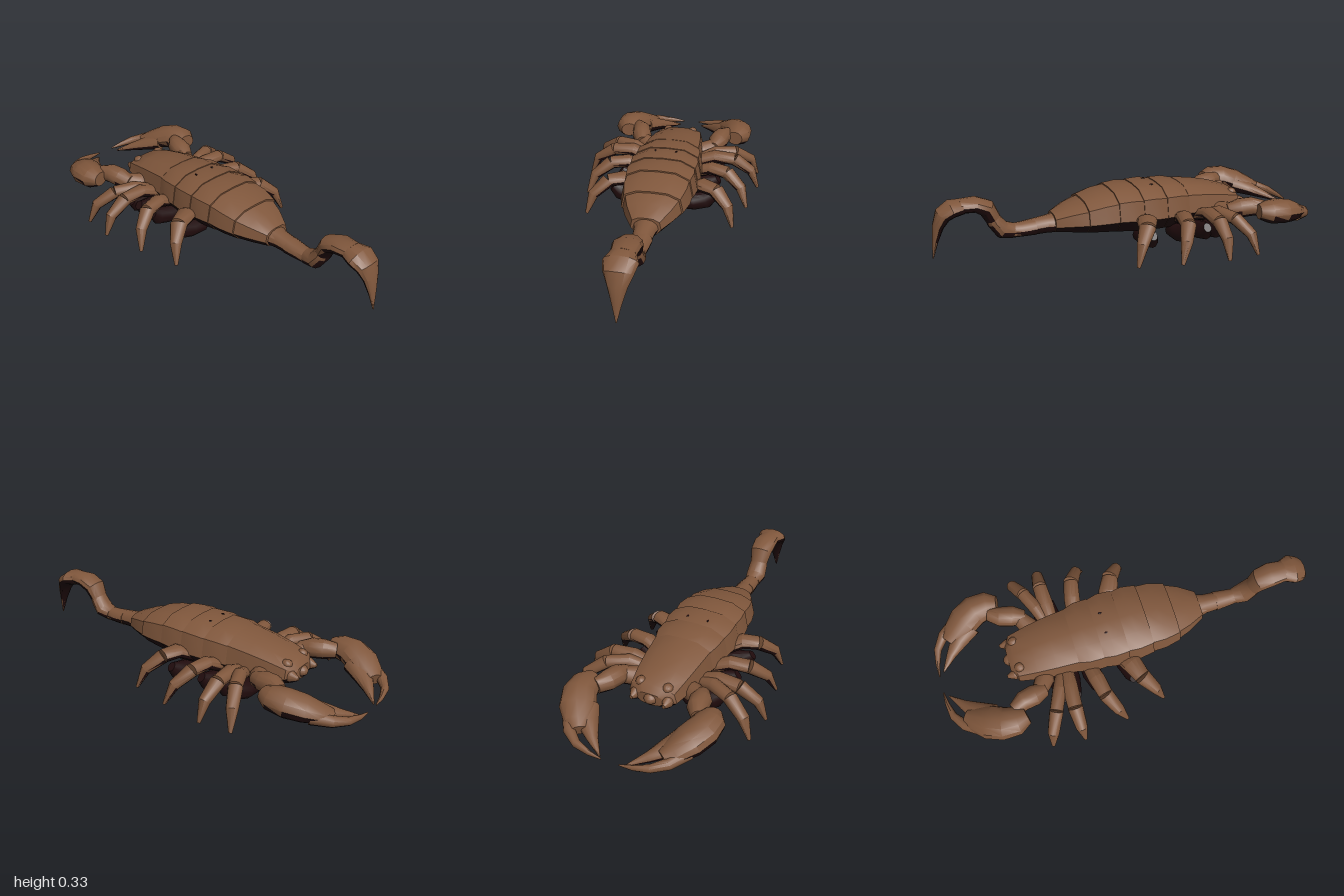
import * as THREE from 'three';
import { toCreasedNormals } from 'three/addons/utils/BufferGeometryUtils.js';

const shell = new THREE.MeshStandardMaterial({ color: 0x80573c });
shell.name = 'brown shell';
const under = new THREE.MeshStandardMaterial({ color: 0x200b0c });
under.name = 'dark underside';

// Half outlines from top to bottom, in units of half width and half height
const PLATE = [[0, 1], [0.5, 0.96], [0.9, 0.66], [1, -0.15], [0.7, -0.72], [0, -1]];
const ROUND = [[0, 1], [0.5, 0.87], [0.87, 0.5], [1, 0], [0.87, -0.5], [0.5, -0.87], [0, -1]];

// Groups the faces so that those pointing down take the dark colour
function paint(geometry) {
  const g = toCreasedNormals(geometry, 0.6);
  const p = g.attributes.position, n = g.attributes.normal;
  const sets = [[], []];
  const t = new THREE.Triangle(), nor = new THREE.Vector3();
  for (let i = 0; i < p.count; i += 3) {
    t.setFromAttributeAndIndices(p, i, i + 1, i + 2);
    t.getNormal(nor);
    sets[nor.y < -0.3 ? 1 : 0].push(i, i + 1, i + 2);
  }
  const out = new THREE.BufferGeometry();
  const order = [...sets[0], ...sets[1]];
  for (const [key, a] of [['position', p], ['normal', n]]) {
    out.setAttribute(key, new THREE.Float32BufferAttribute(
      order.flatMap(i => [a.getX(i), a.getY(i), a.getZ(i)]), 3));
  }
  out.addGroup(0, sets[0].length, 0);
  out.addGroup(sets[0].length, sets[1].length, 1);
  return out;
}

function add(group, name, geometry) {
  const mesh = new THREE.Mesh(paint(geometry), [shell, under]);
  mesh.name = name;
  group.add(mesh);
}

// Parts that are dark all round
function addDark(group, name, geometry) {
  const mesh = new THREE.Mesh(toCreasedNormals(geometry, 0.6), under);
  mesh.name = name;
  group.add(mesh);
}

// Closed skin through stations [x, y, z, halfWidth, halfHeight]
function loft(stations, half = ROUND, fixedDir = null) {
  const ring = [...half, ...half.slice(1, -1).reverse().map(([x, y]) => [-x, y])].reverse();
  const m = ring.length, pos = [], idx = [];
  const pts = stations.map(s => new THREE.Vector3(s[0], s[1], s[2]));
  const up = new THREE.Vector3(0, 1, 0);
  stations.forEach((s, i) => {
    const dir = fixedDir ?? pts[Math.min(i + 1, pts.length - 1)].clone()
      .sub(pts[Math.max(i - 1, 0)]).normalize();
    const side = up.clone().cross(dir).normalize();
    const rise = dir.clone().cross(side);
    for (const [u, v] of ring) {
      const q = pts[i].clone().addScaledVector(side, u * s[3]).addScaledVector(rise, v * s[4]);
      pos.push(q.x, q.y, q.z);
    }
  });
  const last = (pts.length - 1) * m, c0 = pts.length * m;
  for (const e of [pts[0], pts[pts.length - 1]]) pos.push(e.x, e.y, e.z);
  for (let j = 0; j < m; j++) {
    const k = (j + 1) % m;
    for (let o = 0; o < last; o += m) {
      idx.push(o + j, o + k, o + m + k, o + j, o + m + k, o + m + j);
    }
    idx.push(c0, k, j, c0 + 1, last + j, last + k);
  }
  const g = new THREE.BufferGeometry();
  g.setAttribute('position', new THREE.Float32BufferAttribute(pos, 3));
  g.setIndex(idx);
  return g;
}

function blob(x, y, z, rx, ry, rz) {
  return new THREE.SphereGeometry(1, 12, 8).scale(rx, ry, rz).translate(x, y, z);
}

export function createModel() {
  const model = new THREE.Group();
  model.name = 'scorpion';
  const forward = new THREE.Vector3(0, 0, 1);
  const section = ([z, w, top, bottom]) => [0, (top + bottom) / 2, z, w, (top - bottom) / 2];

  // Head shield
  add(model, 'head', loft([
    [-0.63, 0.07, 0.195, 0.13], [-0.6, 0.125, 0.225, 0.11], [-0.5, 0.143, 0.258, 0.08],
    [-0.4, 0.156, 0.28, 0.07], [-0.29, 0.165, 0.295, 0.065],
  ].map(section), PLATE, forward));

  // Overlapping back plates: z, half width, top, bottom
  const back = [[-0.3, 0.168, 0.297, 0.06], [-0.17, 0.185, 0.307, 0.055], [-0.04, 0.19, 0.311, 0.06],
    [0.09, 0.183, 0.306, 0.075], [0.24, 0.157, 0.268, 0.092], [0.39, 0.075, 0.207, 0.108]];
  for (let i = 0; i < back.length - 1; i++) {
    const a = back[i], b = back[i + 1];
    const mid = a.map((v, k) => (v + b[k]) / 2);
    mid[1] += 0.007;
    mid[2] += 0.004;
    add(model, 'backPlate', loft([
      [a[0], a[1] - 0.005, a[2] - 0.006, a[3]], mid, [b[0] + 0.008, b[1], b[2], b[3]],
    ].map(section), PLATE, forward));
  }

  // Tail segments, bulb and stinger: y, z, half width, half height
  const tail = [
    [[0.155, 0.37, 0.07, 0.05], [0.152, 0.43, 0.053, 0.044], [0.147, 0.5, 0.048, 0.04]],
    [[0.147, 0.49, 0.053, 0.041], [0.143, 0.56, 0.046, 0.037], [0.142, 0.62, 0.038, 0.036]],
    [[0.142, 0.6, 0.044, 0.038], [0.155, 0.655, 0.056, 0.044], [0.205, 0.692, 0.052, 0.039],
      [0.235, 0.705, 0.045, 0.036]],
    [[0.22, 0.698, 0.05, 0.038], [0.275, 0.725, 0.062, 0.044], [0.302, 0.78, 0.066, 0.037],
      [0.302, 0.855, 0.057, 0.034]],
    [[0.3, 0.84, 0.058, 0.036], [0.295, 0.895, 0.08, 0.04], [0.268, 0.938, 0.068, 0.038],
      [0.215, 0.963, 0.045, 0.027], [0.14, 0.982, 0.023, 0.015], [0.055, 0.997, 0.003, 0.003]],
  ];
  tail.forEach((part, i) => add(model, i < 4 ? 'tailSegment' : 'stinger',
    loft(part.map(([y, z, w, h]) => [0, y, z, w, h]))));

  // Central mouth part
  add(model, 'mouth', blob(0, 0.165, -0.615, 0.035, 0.03, 0.04));

  // Legs: points [x, z, half width] from hip to tip
  const legs = [
    [[0.12, -0.38, 0.03], [0.23, -0.42, 0.036], [0.33, -0.465, 0.034], [0.42, -0.51, 0.03], [0.46, -0.53, 0.009]],
    [[0.12, -0.36, 0.036], [0.23, -0.367, 0.041], [0.34, -0.37, 0.037], [0.435, -0.366, 0.03], [0.475, -0.362, 0.009]],
    [[0.13, -0.245, 0.036], [0.23, -0.225, 0.042], [0.32, -0.205, 0.038], [0.4, -0.16, 0.03], [0.435, -0.125, 0.009]],
    [[0.13, -0.06, 0.055], [0.21, -0.03, 0.052], [0.285, 0.0, 0.042], [0.355, 0.055, 0.03], [0.385, 0.088, 0.009]],
  ];
  const legY = [0.135, 0.176, 0.168, 0.108, 0.01];

  for (const s of [1, -1]) {
    const side = new THREE.Group();
    side.name = s > 0 ? 'leftLimbs' : 'rightLimbs';
    model.add(side);
    const mirror = stations => stations.map(([x, ...rest]) => [s * x, ...rest]);
    const limb = (name, stations) => add(side, name, loft(mirror(stations)));

    legs.forEach((path, i) => {
      const st = path.map(([x, z, w], k) => [x, legY[k], z, w, Math.min(w, 0.036) * 0.9]);
      limb('upperLeg', st.slice(0, 3));
      const knee = [...st[2]];
      knee[3] *= 1.06;
      knee[4] *= 1.06;
      limb('lowerLeg', [knee, st[3], st[4]]);
      // Dark hip under the body, merging into the leg
      const z = path[0][1] + (i === 0 ? -0.03 : 0.01);
      addDark(side, 'hip', loft(mirror([[0.06, 0.075, z, 0.025, 0.035], [0.095, 0.063, z, 0.05, 0.045],
        [0.17, 0.068, z, 0.05, 0.047], [0.235, 0.085, z + 0.005, 0.034, 0.045],
        [0.27, 0.115, z + 0.01, 0.02, 0.025]])));
    });

    // Pincer arm
    limb('armBase', [[0.07, 0.14, -0.45, 0.04, 0.045], [0.15, 0.15, -0.48, 0.05, 0.048],
      [0.215, 0.165, -0.525, 0.04, 0.042]]);
    limb('forearm', [[0.205, 0.165, -0.49, 0.035, 0.037], [0.222, 0.178, -0.55, 0.055, 0.05],
      [0.236, 0.183, -0.61, 0.052, 0.05], [0.265, 0.178, -0.665, 0.034, 0.04]]);
    // Pincer hand
    limb('hand', [[0.312, 0.178, -0.61, 0.045, 0.038], [0.322, 0.175, -0.66, 0.074, 0.058],
      [0.316, 0.169, -0.73, 0.084, 0.064], [0.283, 0.152, -0.8, 0.086, 0.058],
      [0.24, 0.128, -0.865, 0.066, 0.043], [0.21, 0.115, -0.905, 0.04, 0.03]]);
    limb('outerFinger', [[0.3, 0.13, -0.84, 0.038, 0.036], [0.25, 0.112, -0.925, 0.028, 0.027],
      [0.185, 0.1, -0.972, 0.02, 0.02], [0.11, 0.09, -0.99, 0.011, 0.014],
      [0.045, 0.085, -0.996, 0.003, 0.004]]);
    limb('innerFinger', [[0.25, 0.14, -0.775, 0.058, 0.046], [0.2, 0.118, -0.85, 0.05, 0.036],
      [0.14, 0.095, -0.91, 0.026, 0.023], [0.068, 0.072, -0.972, 0.004, 0.005]]);

    // Eye and jaw
    add(side, 'eye', blob(s * 0.07, 0.215, -0.58, 0.026, 0.024, 0.028));
    limb('jaw', [[0.075, 0.165, -0.57, 0.035, 0.035], [0.085, 0.165, -0.62, 0.026, 0.03],
      [0.085, 0.165, -0.655, 0.008, 0.01]]);
    // Small pit on the back
    addDark(side, 'backPit', blob(s * 0.055, 0.309, -0.12, 0.006, 0.003, 0.009));
  }
  return model;
}
